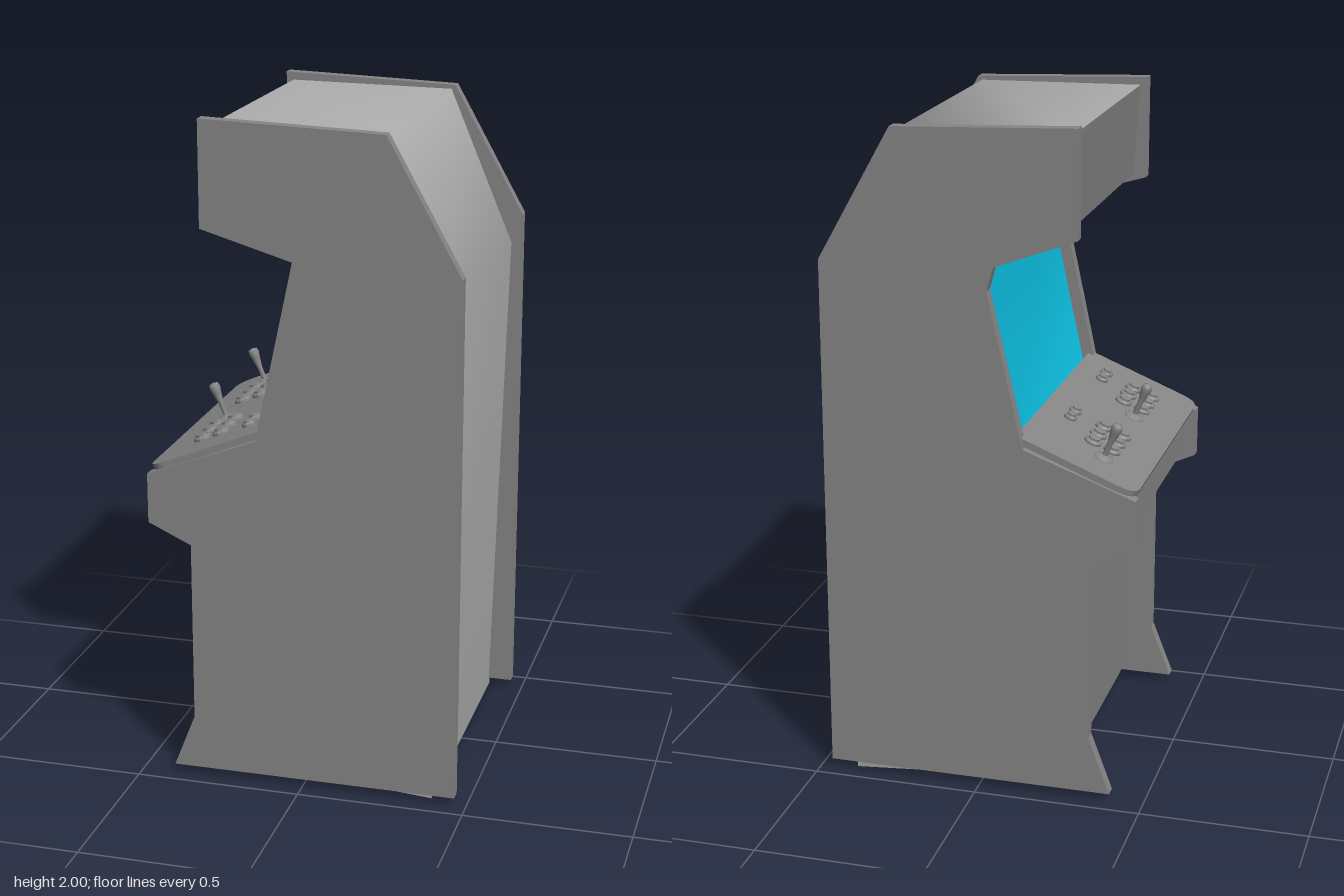
import * as THREE from 'three';

const grey = new THREE.MeshStandardMaterial({ color: 0x868686, side: THREE.DoubleSide });
const lightGrey = new THREE.MeshStandardMaterial({ color: 0xadadad, side: THREE.DoubleSide });
const flatGrey = new THREE.MeshStandardMaterial({ color: 0x868686, flatShading: true });
const teal = new THREE.MeshStandardMaterial({ color: 0x0bb4d4, side: THREE.DoubleSide });

function addMesh(parent, name, geometry, material = grey) {
  const mesh = new THREE.Mesh(geometry, material);
  mesh.name = name;
  parent.add(mesh);
  return mesh;
}

// Sheet swept across the cabinet width along an x/y path (smooth along the path)
function sheet(points, zBack = -0.435, zFront = 0.42) {
  const positions = [], index = [];
  points.forEach(([x, y], i) => {
    positions.push(x, y, zBack, x, y, zFront);
    const a = 2 * i;
    if (i < points.length - 1) index.push(a, a + 2, a + 1, a + 1, a + 2, a + 3);
  });
  const geometry = new THREE.BufferGeometry();
  geometry.setAttribute('position', new THREE.Float32BufferAttribute(positions, 3));
  geometry.setIndex(index);
  geometry.computeVertexNormals();
  return geometry;
}

// Side panel outline; the neck corner differs slightly between the two sides
function sidePanel(neck, footTop) {
  const outline = [
    [-0.40, 0.025], [0.465, 0.025], [0.465, 1.59], [0.247, 1.98], [-0.29, 2.0], [-0.29, 1.69],
    ...neck, [-0.135, 1.075], [-0.465, 0.95], [-0.465, 0.80], [-0.335, 0.74], [-0.335, footTop],
  ];
  const shape = new THREE.Shape(outline.map(([x, y]) => new THREE.Vector2(x, y)));
  return new THREE.ExtrudeGeometry(shape, { depth: 0.038, bevelEnabled: false });
}

// Turned part standing on the control deck
function turned(parent, name, profile, u, z, segments, material) {
  const points = profile.map(([r, y]) => new THREE.Vector2(r, y));
  const mesh = addMesh(parent, name, new THREE.LatheGeometry(points, segments), material);
  mesh.position.set(u, 0.02, z);
}

export function createModel() {
  const cabinet = new THREE.Group();
  cabinet.name = 'arcadeCabinet';

  // Side panels
  addMesh(cabinet, 'leftSidePanel', sidePanel([[-0.02, 1.61]], 0.19)).position.z = 0.413;
  addMesh(cabinet, 'rightSidePanel', sidePanel([[-0.05, 1.6], [-0.03, 1.53]], 0.2)).position.z = -0.453;

  // Body shell between the side panels
  const shell = {
    marquee: [[-0.268, 1.975], [-0.25, 1.70]],
    marqueeUnderside: [[-0.25, 1.70], [0.015, 1.605]],
    deckFront: [[-0.43, 0.96], [-0.43, 0.82]],
    deckUnderside: [[-0.43, 0.82], [-0.25, 0.76]],
    kickPanel: [[-0.25, 0.76], [-0.25, 0.05]],
    bottom: [[-0.25, 0.05], [0.39, 0]],
  };
  for (const [name, path] of Object.entries(shell)) addMesh(cabinet, name, sheet(path));
  addMesh(cabinet, 'backAndTop', sheet([[0.39, 0], [0.432, 1.5], [0.235, 1.968], [-0.268, 1.975]]), lightGrey);
  // The screen blends into a ledge under the control deck
  addMesh(cabinet, 'screen', sheet([[0.015, 1.605], [-0.1, 1.07], [-0.4, 0.945]]), teal);

  // Sloping control deck: local x runs up the slope, local y is its normal
  const deck = new THREE.Group();
  deck.name = 'controlDeck';
  deck.position.set(-0.457, 0.95, 0);
  deck.rotation.z = 0.386;
  cabinet.add(deck);

  const r = 0.055, w = 0.443, len = 0.38;
  const board = new THREE.Shape();
  board.moveTo(len, -w);
  board.lineTo(len, w);
  board.lineTo(r, w);
  board.quadraticCurveTo(0, w, 0, w - r);
  board.lineTo(0, r - w);
  board.quadraticCurveTo(0, -w, r, -w);
  const boardGeometry = new THREE.ExtrudeGeometry(board, { depth: 0.02, bevelEnabled: false });
  boardGeometry.rotateX(-Math.PI / 2);
  addMesh(deck, 'controlBoard', boardGeometry);

  // Controls for two players
  const buttonProfile = [[0.027, 0], [0.027, 0.007], [0.022, 0.012], [0.018, 0.012], [0.018, 0.018], [0, 0.019]];
  const smallProfile = buttonProfile.map(([x, y]) => [x * 0.75, y]);
  const baseProfile = [[0.03, 0], [0.028, 0.006], [0.01, 0.012], [0, 0.012]];
  const stickProfile = [[0.008, 0.008], [0.008, 0.05], [0.014, 0.085], [0.017, 0.1], [0.014, 0.112], [0, 0.116]];
  for (const z of [-0.308, 0.087]) {
    turned(deck, 'joystickBase', baseProfile, 0.138, z, 16, grey);
    turned(deck, 'joystick', stickProfile, 0.138, z, 12, grey);
    for (const dz of [0.072, 0.138, 0.207]) {
      for (const u of [0.13, 0.192]) turned(deck, 'button', buttonProfile, u, z + dz, 10, flatGrey);
    }
    for (const dz of [0.163, 0.223]) turned(deck, 'startButton', smallProfile, 0.29, z + dz, 10, flatGrey);
  }
  return cabinet;
}
